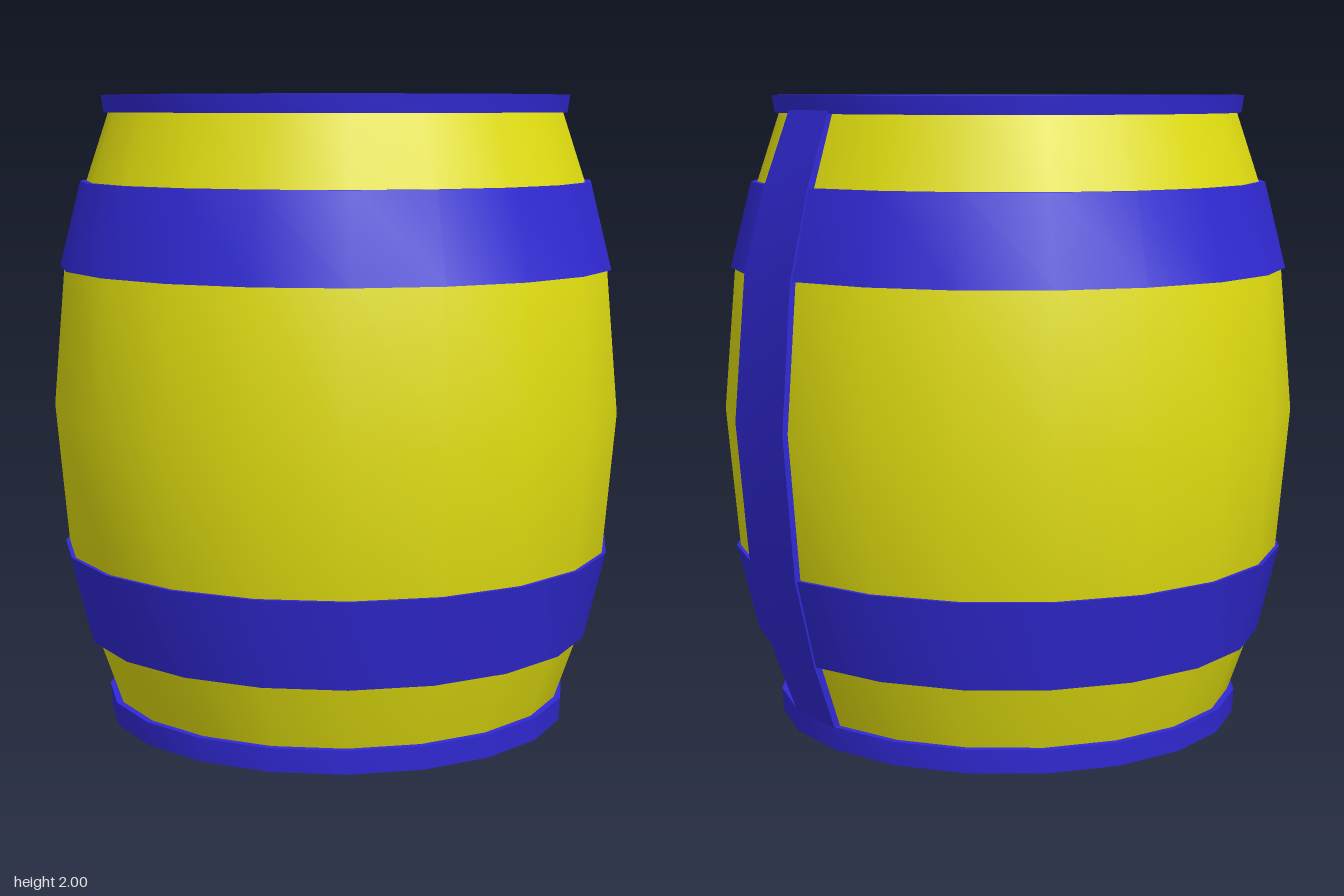
import * as THREE from 'three';
import { toCreasedNormals } from 'three/addons/utils/BufferGeometryUtils.js';

const SIDES = 20;
const yellow = new THREE.MeshStandardMaterial({ color: 0xe3e010 });
const blue = new THREE.MeshStandardMaterial({ color: 0x3129d6 });
const grey = new THREE.MeshStandardMaterial({ color: 0xcccccc });

// Profile of [radius, height] pairs, listed so the surface faces outward
function turned(profile) {
  return new THREE.LatheGeometry(profile.map(([r, y]) => new THREE.Vector2(r, y)), SIDES);
}

export function createModel() {
  const barrel = new THREE.Group();
  barrel.name = 'barrel';
  const add = (name, geometry, material) => {
    const mesh = new THREE.Mesh(geometry, material);
    mesh.name = name;
    barrel.add(mesh);
    return mesh;
  };

  // Bulging staves
  add('staves', turned([
    [0.72, 0.05], [0.80, 0.28], [0.875, 0.56], [0.914, 1.01],
    [0.875, 1.46], [0.80, 1.73], [0.72, 1.97],
  ]), yellow);

  // Two wide hoops, mirrored about the middle
  const hoop = (name, y0, r0, y1, r1) => add(name, toCreasedNormals(turned([
    [r0 - 0.04, y0], [r0, y0], [r1, y1], [r1 - 0.04, y1],
  ]), 0.6), blue);
  hoop('lowerHoop', 0.28, 0.82, 0.56, 0.888);
  hoop('upperHoop', 1.46, 0.888, 1.73, 0.82);

  // Bottom rim and base
  add('bottomRim', toCreasedNormals(turned([
    [0.725, 0], [0.745, 0], [0.75, 0.075], [0.70, 0.075],
  ]), 0.6), blue);
  const base = add('base', new THREE.CircleGeometry(0.726, SIDES), grey);
  base.rotation.x = Math.PI / 2;
  base.position.y = 0.001;

  // Top rim: its inner wall slopes down to an oval head
  const headY = 1.91, headX = 0.61, headZ = 0.685;
  const rim = turned([
    [0.70, 1.945], [0.742, 1.945], [0.75, 2], [0.72, 2], [headZ, headY],
  ]);
  const p = rim.attributes.position;
  for (let i = 0; i < p.count; i++) {
    if (Math.abs(p.getY(i) - headY) < 1e-4) p.setX(i, p.getX(i) * headX / headZ);
  }
  add('topRim', toCreasedNormals(rim, 0.6), blue);

  // Recessed head and its bung
  const head = add('head', new THREE.CircleGeometry(1, SIDES), yellow);
  head.rotation.x = -Math.PI / 2;
  head.scale.set(headX, headZ, 1);
  head.position.y = headY;
  const bung = add('bung', new THREE.CylinderGeometry(0.1, 0.1, 0.03, 32), blue);
  bung.position.set(0, headY + 0.01, -0.01);

  // Strap one stave wide down the back: a box bent along the bulge
  const path = [
    [0.742, 0.05], [0.826, 0.28], [0.896, 0.56], [0.934, 1.01],
    [0.896, 1.46], [0.826, 1.73], [0.742, 1.96],
  ];
  const strap = new THREE.BoxGeometry(1, 1, 1, 1, path.length - 1, 1);
  const s = strap.attributes.position;
  for (let i = 0; i < s.count; i++) {
    const [radius, y] = path[Math.round((s.getY(i) + 0.5) * (path.length - 1))];
    const r = s.getZ(i) > 0 ? radius : radius - 0.035;
    const angle = Math.PI + (s.getX(i) + 0.5) * 2 * Math.PI / SIDES;
    s.setXYZ(i, r * Math.sin(angle), y, r * Math.cos(angle));
  }
  strap.computeVertexNormals();
  add('backStrap', strap, blue);

  // The strap's thickness shifts the barrel slightly forward
  barrel.position.z = 0.01;
  const model = new THREE.Group();
  model.add(barrel);
  return model;
}
